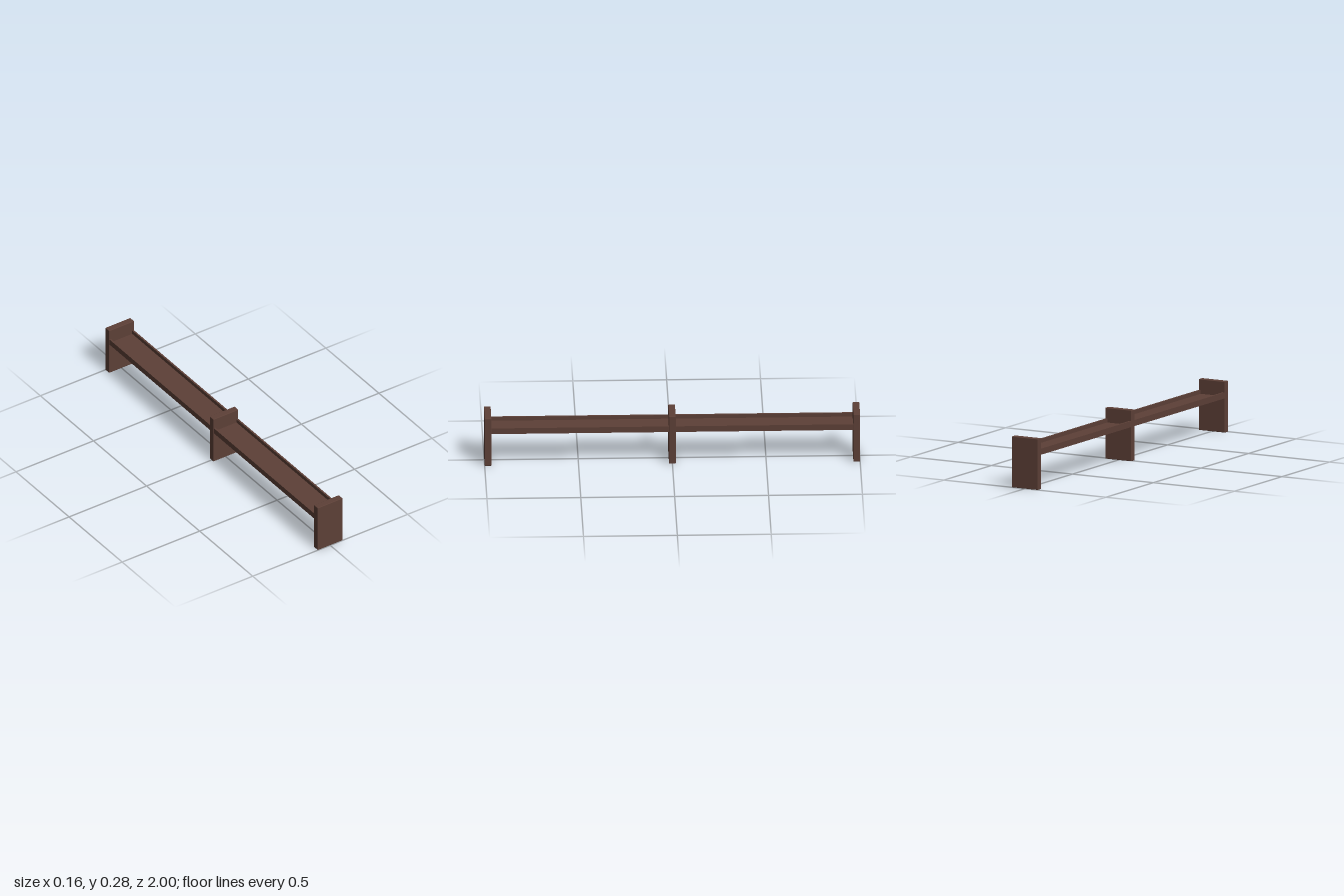
import * as THREE from 'three';
import { RoundedBoxGeometry } from 'three/addons/geometries/RoundedBoxGeometry.js';

const W = 0.161, H = 0.276, T = 0.036; // upright panel size

export function createModel() {
  const group = new THREE.Group();
  const wood = new THREE.MeshStandardMaterial({ color: 0x5d4037 });
  wood.name = 'darkBrownWood';

  const add = (name, geometry, x, y, z) => {
    const mesh = new THREE.Mesh(geometry, wood);
    mesh.name = name;
    mesh.position.set(x, y, z);
    group.add(mesh);
  };

  // Three upright panels with slightly eased edges
  const panel = new RoundedBoxGeometry(W, H, T, 2, 0.003);
  const end = 1 - T / 2;
  add('frontPanel', panel, 0, H / 2, end);
  add('middlePanel', panel, 0, H / 2, 0);
  add('backPanel', panel, 0, H / 2, -end);

  // Trough cross-section: flat floor with a raised lip on each side
  const hw = 0.078, inner = 0.068, bottom = 0.185, floor = 0.197, top = 0.218;
  const profile = new THREE.Shape([
    [-hw, bottom], [hw, bottom], [hw, top], [inner, top],
    [inner, floor], [-inner, floor], [-inner, top], [-hw, top],
  ].map(([x, y]) => new THREE.Vector2(x, y)));

  // One trough spans each bay between panels
  const length = 1 - 1.5 * T;
  const trough = new THREE.ExtrudeGeometry(profile, { depth: length, bevelEnabled: false });
  add('frontTrough', trough, 0, 0, T / 2);
  add('backTrough', trough, 0, 0, -T / 2 - length);

  return group;
}
